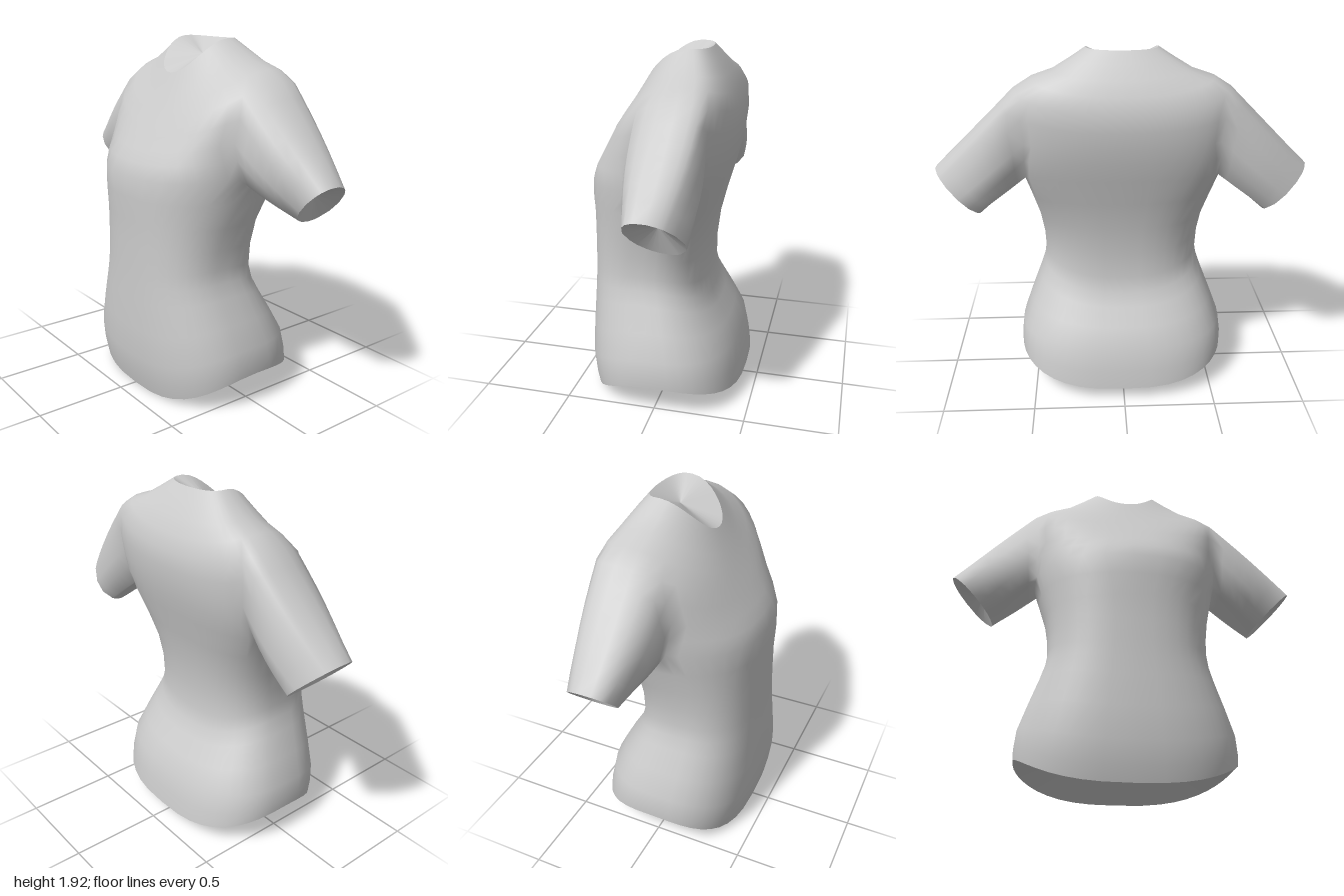
import * as THREE from 'three';

const COLS = 40; // points around the torso
const HALF = 3; // columns on each side of an armhole
const SLEEVE_RINGS = 6;
const PIT = 10, TOP = 14; // torso rows that bound the armholes

// Key torso rings: half width, side y, side z, front y, front z, back y, back z
const KEYS = [
  [0.585, 0.18, 0, 0, 0.4, 0.07, -0.435], // hem
  [0.575, 0.33, 0.01, 0.2, 0.437, 0.3, -0.395],
  [0.47, 0.6, 0.06, 0.54, 0.432, 0.5, -0.28],
  [0.432, 0.75, 0.08, 0.72, 0.428, 0.66, -0.222], // waist
  [0.455, 0.98, 0.03, 0.98, 0.427, 0.96, -0.24],
  [0.525, 1.25, -0.1, 1.22, 0.432, 1.26, -0.318], // armpit
  [0.555, 1.46, -0.14, 1.36, 0.365, 1.44, -0.357],
  [0.56, 1.72, -0.145, 1.5, 0.28, 1.62, -0.365], // shoulder
  [0.36, 1.812, -0.13, 1.635, 0.2, 1.78, -0.295],
  [0.185, 1.918, -0.1, 1.74, 0.14, 1.912, -0.2], // neck
];
const ROWS = KEYS.length * 2 - 1;

// Ring values at a row; odd rows lie on a smooth curve between two keys
function ringAt(row) {
  const key = (k) => KEYS[THREE.MathUtils.clamp(k, 0, KEYS.length - 1)];
  const k = Math.floor(row / 2);
  if (row % 2 === 0) return KEYS[k];
  return KEYS[k].map((v, n) => (9 * (v + key(k + 1)[n]) - key(k - 1)[n] - key(k + 2)[n]) / 16);
}

const softPow = (v, p) => Math.sign(v) * Math.abs(v) ** p;

// Points of a tilted, slightly squared ring; sine > 0 is the front half
function ringPoints(row) {
  const [w, ys, zs, yf, zf, yb, zb] = ringAt(row);
  const pinch = 0.25 * Math.exp(-((row - PIT) ** 2) / 1.4); // narrows the armhole at the armpit
  const round = THREE.MathUtils.lerp(0.73, 0.9, row / (ROWS - 1));
  const backRound = 0.8 - 0.2 * THREE.MathUtils.smoothstep(row, 7, 12); // broad shoulder blades
  return Array.from({ length: COLS }, (_, col) => {
    const a = (col / COLS) * Math.PI * 2;
    const t = a - pinch * Math.sin(2 * a);
    const c = Math.cos(t), s = Math.sin(t);
    const [yEnd, zEnd, zPow] = s > 0 ? [yf, zf, round] : [yb, zb, backRound];
    return new THREE.Vector3(
      w * softPow(c, round),
      ys + (yEnd - ys) * Math.abs(s) ** 1.65,
      zs + (zEnd - zs) * Math.abs(s) ** zPow
    );
  });
}

// The fabric surface and the rims of its openings
function buildShirt() {
  const points = [], index = [], cuffs = [];
  const id = (row, col) => row * COLS + ((col + COLS) % COLS);
  const quad = (a, b, c, d) => index.push(a, d, b, b, d, c);

  // Torso, leaving out the two armholes
  for (let j = 0; j < ROWS; j++) points.push(...ringPoints(j));
  const inHole = (row, col) =>
    row >= PIT && row < TOP &&
    [0, COLS / 2, COLS].some((m) => col >= m - HALF && col < m + HALF);
  for (let j = 0; j < ROWS - 1; j++) {
    for (let i = 0; i < COLS; i++) {
      if (!inHole(j, i)) quad(id(j, i), id(j, i + 1), id(j + 1, i + 1), id(j + 1, i));
    }
  }

  // Sleeves, lofted from each armhole edge to an oval cuff
  for (const [mid, side] of [[0, 1], [COLS / 2, -1]]) {
    const hole = [];
    for (let i = -HALF; i < HALF; i++) hole.push(id(PIT, mid + i));
    for (let j = PIT; j < TOP; j++) hole.push(id(j, mid + HALF));
    for (let i = HALF; i > -HALF; i--) hole.push(id(TOP, mid + i));
    for (let j = TOP; j > PIT; j--) hole.push(id(j, mid - HALF));

    let ring = hole;
    for (let k = 1; k <= SLEEVE_RINGS; k++) {
      const t = k / SLEEVE_RINGS;
      const next = hole.map((h) => {
        const p = points[h];
        const a = Math.atan2((p.z + 0.1) / 0.18, (p.y - 1.48) / 0.23);
        const c = Math.cos(a), s = Math.sin(a);
        const cuff = new THREE.Vector3(
          side * (0.88 + 0.12 * c),
          1.165 + 0.118 * c,
          -0.12 + 0.135 * s + 0.04 * c
        );
        const q = p.clone().lerp(cuff, t);
        q.z += 0.02 * Math.sin(Math.PI * t) * s;
        return points.push(q) - 1;
      });
      ring.forEach((a, i) => {
        const m = (i + 1) % hole.length;
        quad(a, ring[m], next[m], next[i]);
      });
      ring = next;
    }
    cuffs.push(ring.map((i) => points[i]));
  }

  const geometry = new THREE.BufferGeometry().setFromPoints(points);
  geometry.setIndex(index);
  geometry.computeVertexNormals();
  return { geometry, hem: points.slice(0, COLS), neck: points.slice(id(ROWS - 1, 0), ROWS * COLS), cuffs };
}

// Band from a rim to a smaller, shifted copy of it; scale 0 closes the opening
function liningGeometry(rim, scale, shift) {
  const n = rim.length;
  const centre = rim.reduce((sum, p) => sum.add(p), new THREE.Vector3()).divideScalar(n);
  const inner = rim.map((p) => centre.clone().lerp(p, scale).add(shift));
  const index = [];
  for (let i = 0; i < n; i++) {
    const m = (i + 1) % n;
    index.push(i, m, n + i, m, n + m, n + i);
  }
  const geometry = new THREE.BufferGeometry().setFromPoints([...rim, ...inner]);
  geometry.setIndex(index);
  geometry.computeVertexNormals();
  return geometry;
}

export function createModel() {
  const group = new THREE.Group();
  group.name = 'shirt';
  const fabric = new THREE.MeshStandardMaterial({ color: 0xcccccc, side: THREE.DoubleSide });
  const add = (name, geometry) => {
    const mesh = new THREE.Mesh(geometry, fabric);
    mesh.name = name;
    group.add(mesh);
  };

  const { geometry, hem, neck, cuffs } = buildShirt();
  add('torsoAndSleeves', geometry);
  add('hemFacing', liningGeometry(hem, 0.6, new THREE.Vector3(0, 0.09, 0)));
  add('neckLining', liningGeometry(neck, 0, new THREE.Vector3(0, -0.04, -0.02)));
  cuffs.forEach((rim, i) => {
    const inward = new THREE.Vector3(i ? 0.05 : -0.05, 0.05, 0);
    add(i ? 'rightCuffLining' : 'leftCuffLining', liningGeometry(rim, 0, inward));
  });
  return group;
}
